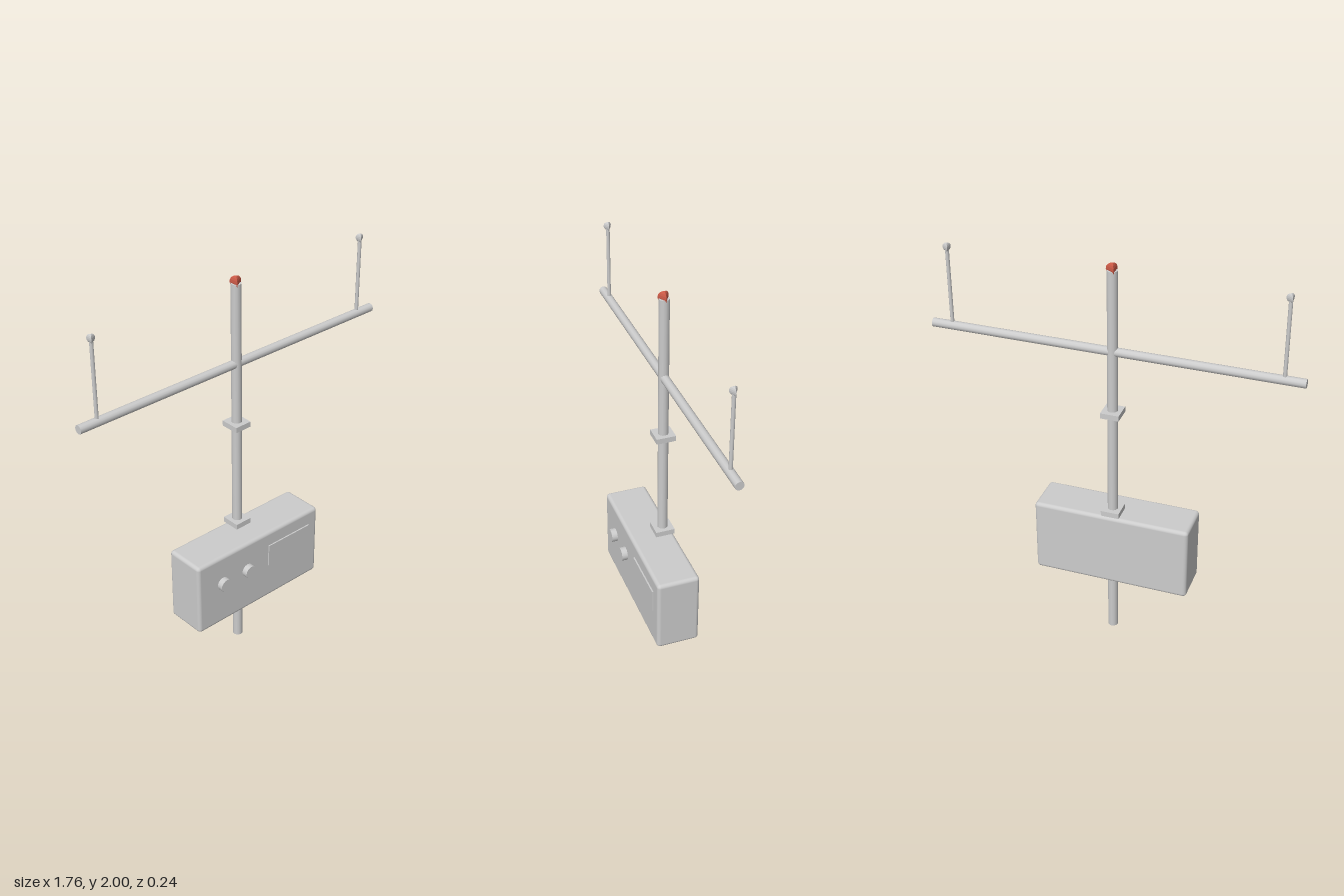
import * as THREE from 'three';
import { RoundedBoxGeometry } from 'three/addons/geometries/RoundedBoxGeometry.js';

const POLE_Z = -0.073;

export function createModel() {
  const model = new THREE.Group();
  model.name = 'weatherMast';
  const grey = new THREE.MeshStandardMaterial({ name: 'light grey', color: 0xcccccc });
  const red = new THREE.MeshStandardMaterial({ name: 'beacon red', color: 0xcc5a47 });

  const add = (name, geometry, x, y, z, material = grey) => {
    const mesh = new THREE.Mesh(geometry, material);
    mesh.name = name;
    mesh.position.set(x, y, z);
    model.add(mesh);
    return mesh;
  };

  // three-sided ball with one edge towards +x
  const triBall = (r) => new THREE.SphereGeometry(r, 3, 8, Math.PI, Math.PI * 2).toNonIndexed();
  const flat = (geometry) => { geometry.computeVertexNormals(); return geometry; };

  // upright pole with red tip
  add('pole', new THREE.CylinderGeometry(0.025, 0.025, 1.965, 12), 0, 0.9825, POLE_Z);
  add('beacon', flat(triBall(0.03)), 0, 1.97, POLE_Z, red);

  // square collars on the pole
  for (const y of [0.707, 1.253]) {
    add('collar', new THREE.BoxGeometry(0.09, 0.027, 0.095), 0, y, POLE_Z);
  }

  // crossbar with a thin ball-topped rod near each end
  const bar = new THREE.CylinderGeometry(0.021, 0.021, 1.76, 12).rotateZ(Math.PI / 2);
  add('crossbar', bar, 0, 1.57, POLE_Z);
  for (const side of [-1, 1]) {
    const x = side * 0.783;
    add('sensorRod', new THREE.CylinderGeometry(0.009, 0.009, 0.39, 10), x, 1.765, POLE_Z);
    add('sensorBall', flat(triBall(0.021)), x, 1.959, POLE_Z);
  }

  // instrument case with softened edges
  add('case', new RoundedBoxGeometry(0.78, 0.386, 0.211, 3, 0.018), 0, 0.494, -0.0145);

  // dials and display panel on the front face
  for (const x of [-0.237, -0.079]) {
    const dial = new THREE.CylinderGeometry(0.034, 0.034, 0.035, 16).rotateX(Math.PI / 2);
    add('dial', dial, x, 0.532, 0.1025);
  }
  add('displayPanel', new THREE.BoxGeometry(0.272, 0.117, 0.012), 0.193, 0.552, 0.092);

  return model;
}
